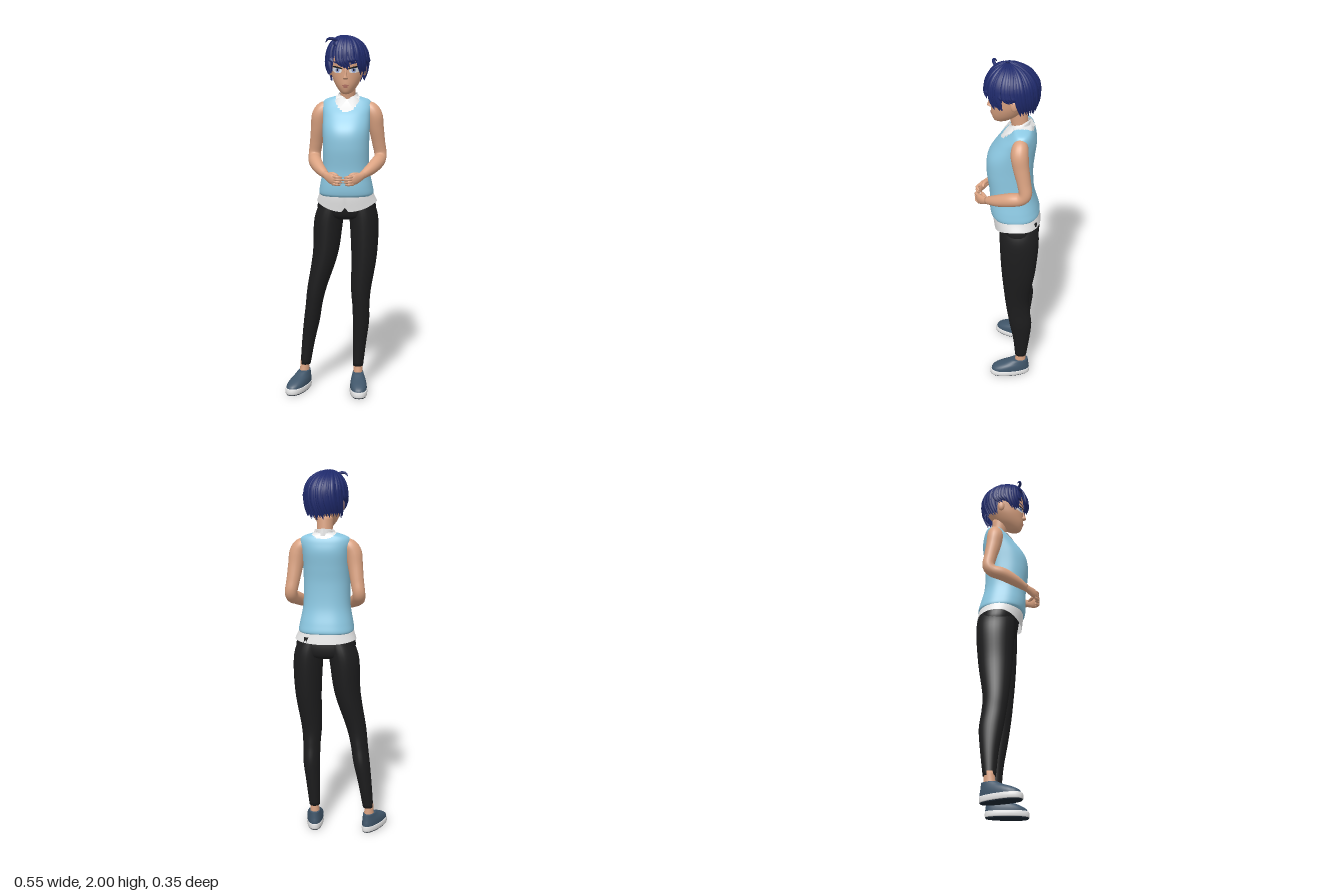
import * as THREE from 'three';

const mat = (name, color, double) => {
  const m = new THREE.MeshStandardMaterial({ color });
  m.name = name;
  if (double) m.side = THREE.DoubleSide;
  return m;
};
const V = (x, y, z) => new THREE.Vector3(x, y, z);
const AX = 0.065, HX = 0.07; // body and head centre lines

// Smooth interpolation through sections [x, y, z, halfWidth, halfDepth]
function sampler(secs) {
  const c = new THREE.CatmullRomCurve3(secs.map(s => V(s[0], s[1], s[2])), false, 'catmullrom', 0.5);
  const r = new THREE.CatmullRomCurve3(secs.map(s => V(s[3], s[4] ?? s[3], 0)), false, 'catmullrom', 0.5);
  return t => ({ c: c.getPoint(t), r: r.getPoint(t), t: c.getTangent(t) });
}

function geometry(pos, ...lists) {
  const g = new THREE.BufferGeometry();
  g.setAttribute('position', new THREE.Float32BufferAttribute(pos, 3));
  g.setIndex(lists.flat());
  let start = 0;
  if (lists.length > 1) lists.forEach((l, i) => { g.addGroup(start, l.length, i); start += l.length; });
  g.computeVertexNormals();
  return g;
}

// Skin of oval rings: level rings, or rings across the path when a hint direction is given
function loft(secs, { n = 28, m = 36, hint, pow = 2, caps = true, mod, pick } = {}) {
  const at = sampler(secs), pos = [], lists = pick ? [[], []] : [[]];
  const up = Math.sign(secs[secs.length - 1][1] - secs[0][1]);
  const bend = v => Math.sign(v) * Math.abs(v) ** (2 / pow);
  for (let j = 0; j <= m; j++) {
    const s = at(j / m), T = hint ? s.t : V(0, up, 0);
    const U = hint ? hint.clone().addScaledVector(T, -hint.dot(T)).normalize() : V(1, 0, 0);
    const W = U.clone().cross(T);
    for (let i = 0; i < n; i++) {
      const a = i / n * Math.PI * 2;
      const p = s.c.clone().addScaledVector(U, s.r.x * bend(Math.cos(a))).addScaledVector(W, s.r.y * bend(Math.sin(a)));
      if (mod) mod(p, a, j / m);
      pos.push(p.x, p.y, p.z);
    }
  }
  for (let j = 0; j < m; j++) for (let i = 0; i < n; i++) {
    const a = j * n + i, b = j * n + (i + 1) % n, c = a + n, d = b + n;
    const mid = k => (pos[a * 3 + k] + pos[d * 3 + k]) / 2;
    lists[pick && pick(mid(0), mid(1), mid(2)) ? 1 : 0].push(a, c, b, b, c, d);
  }
  if (caps) [0, 1].forEach(e => {
    const c = at(e).c, k = pos.length / 3, o = e * m * n;
    pos.push(c.x, c.y, c.z);
    for (let i = 0; i < n; i++) {
      const a = o + i, b = o + (i + 1) % n;
      lists[0].push(k, e ? b : a, e ? a : b);
    }
  });
  return geometry(pos, ...lists);
}

export function createModel() {
  const model = new THREE.Group();
  const skin = mat('skin', 0xdba382), vestM = mat('vest blue', 0x8cc8e2, true), white = mat('shirt white', 0xe6e6e6, true);
  const black = mat('trouser black', 0x1d1d1e, true), shoeM = mat('shoe slate', 0x40566a), hairM = mat('hair navy', 0x1f2a6c, true);
  const under = mat('sole dark', 0x1c2733), iris = mat('iris pale blue', 0x8f9fd6, true), lip = mat('lip', 0xb87566, true);
  const add = (name, geo, m, parent = model) => {
    const mesh = new THREE.Mesh(geo, m);
    mesh.name = name;
    parent.add(mesh);
    return mesh;
  };

  // Sweater vest, with the shirt showing in the scooped neckline
  add('vest', loft([
    [AX, 1.135, -0.04, 0.143, 0.123], [AX, 1.15, -0.039, 0.149, 0.13], [AX, 1.19, -0.032, 0.143, 0.128],
    [AX, 1.28, -0.02, 0.127, 0.117], [AX, 1.4, -0.01, 0.125, 0.121], [AX, 1.49, -0.018, 0.127, 0.121],
    [AX, 1.57, -0.048, 0.13, 0.1], [AX, 1.62, -0.067, 0.135, 0.074], [AX, 1.65, -0.074, 0.122, 0.057],
    [AX, 1.668, -0.072, 0.075, 0.05], [AX, 1.675, -0.07, 0.045, 0.04],
  ], {
    n: 72, m: 90, pow: 2.4,
    pick: (x, y, z) => ((x - HX) / 0.064) ** 2 + ((y - 1.675) / (z > -0.07 ? 0.085 : 0.03)) ** 2 < 1,
  }), [vestM, white]);

  // Shirt tail, longer at the front and split at the middle
  add('shirtTail', loft([[AX, 1.18, -0.04, 0.138, 0.12], [AX, 1.14, -0.043, 0.15, 0.124], [0.067, 1.1, -0.052, 0.166, 0.124]], {
    n: 64, m: 10, caps: false, pow: 2.2,
    mod: (p, a, t) => {
      const f = (p.z + 0.045) / 0.125, gap = Math.max(0, 1 - Math.abs(p.x - AX) / 0.012);
      p.y -= t * t * (f > 0 ? 0.055 * f * f - 0.03 * gap * f : 0.012 * f * f);
    },
  }), white);

  // Collar band and folded points
  add('collarBand', loft([[HX, 1.635, -0.066, 0.052, 0.052], [HX, 1.675, -0.068, 0.046, 0.046]], {
    m: 4, caps: false, mod: p => { p.y -= (p.z + 0.065) * 0.35; },
  }), white);
  for (const s of [1, -1]) {
    const pts = [[0.004, 1.65, 0.002], [0.035, 1.608, 0.032], [0.064, 1.642, -0.003], [0.051, 1.688, -0.07], [0.03, 1.668, -0.02],
      [0.064, 1.655, -0.075], [0, 1.697, -0.118], [0, 1.66, -0.14]];
    add('collarPoint', geometry(pts.flatMap(p => [HX + s * p[0], p[1], p[2]]), [0, 1, 4, 1, 2, 4, 4, 2, 3, 2, 5, 3, 3, 5, 6, 5, 7, 6]), white);
  }

  // Trousers
  add('hips', loft([[AX, 1.0, -0.062, 0.1, 0.07], [AX, 1.02, -0.062, 0.145, 0.1], [AX, 1.07, -0.058, 0.162, 0.11], [AX, 1.16, -0.045, 0.14, 0.11]], { n: 40, m: 16, pow: 2.2 }), black);
  const legs = {
    left: [[0.135, 1.12, 0.07], [0.16, 1, 0.08], [0.163, 0.8, 0.072], [0.147, 0.6, 0.056], [0.146, 0.5, 0.048], [0.146, 0.4, 0.046], [0.138, 0.28, 0.038], [0.13, 0.14, 0.029]],
    right: [[0.005, 1.12, 0.07], [-0.034, 1, 0.081], [-0.054, 0.8, 0.071], [-0.102, 0.6, 0.054], [-0.12, 0.5, 0.047], [-0.135, 0.4, 0.045], [-0.155, 0.28, 0.037], [-0.173, 0.14, 0.029]],
  };
  const legDepth = [[-0.06, 0.098], [-0.065, 0.105], [-0.062, 0.093], [-0.055, 0.07], [-0.062, 0.065], [-0.075, 0.063], [-0.08, 0.048], [-0.078, 0.033]];
  for (const side in legs) {
    add(side + 'TrouserLeg', loft(legs[side].map(([x, y, a], i) => [x, y, legDepth[i][0], a, legDepth[i][1]]), { m: 48 }), black);

    // Ankle and slip-on shoe
    const foot = new THREE.Group(), left = side === 'left';
    foot.name = side + 'Foot';
    foot.position.set(left ? 0.13 : -0.178, 0, -0.078);
    foot.rotation.y = left ? 0.12 : -0.38;
    model.add(foot);
    const wide = { m: 6, pow: 2.3, mod: p => { p.x *= 1 + (p.z - 0.06) * 1.2; } };
    add('ankle', loft([[0, 0.05, 0.005, 0.03, 0.04], [0, 0.1, 0.002, 0.026, 0.032], [0, 0.16, 0, 0.024, 0.026]], { m: 8 }), skin, foot);
    add('soleUnderside', loft([[0, 0, 0.065, 0.044, 0.112], [0, 0.006, 0.065, 0.046, 0.115]], wide), under, foot);
    add('sole', loft([[0, 0.005, 0.065, 0.047, 0.116], [0, 0.02, 0.065, 0.049, 0.117], [0, 0.036, 0.064, 0.047, 0.115]], wide), white, foot);
    add('shoeUpper', loft([[0, 0.03, 0.063, 0.046, 0.113], [0, 0.05, 0.058, 0.046, 0.107], [0, 0.068, 0.044, 0.043, 0.09],
      [0, 0.085, 0.022, 0.037, 0.066], [0, 0.104, 0.003, 0.031, 0.045]], { ...wide, m: 14 }), shoeM, foot);
  }

  // Arms bent in front, hands meeting at the waist
  for (const s of [1, -1]) {
    const arm = new THREE.Group();
    arm.name = s > 0 ? 'leftArm' : 'rightArm';
    model.add(arm);
    const limb = (name, secs, opt) => add(name, loft(secs.map(p => [AX + s * p[0], ...p.slice(1)]), opt), skin, arm);
    limb('armSleeveless', [[0.09, 1.615, -0.07, 0.025], [0.125, 1.603, -0.068, 0.04], [0.149, 1.565, -0.066, 0.045], [0.16, 1.5, -0.074, 0.04, 0.042],
      [0.172, 1.42, -0.09, 0.036], [0.182, 1.36, -0.098, 0.034], [0.18, 1.328, -0.075, 0.034], [0.168, 1.312, -0.02, 0.036],
      [0.138, 1.285, 0.045, 0.031], [0.098, 1.258, 0.105, 0.02]], { hint: V(s * 0.8, 0.3, 0.55), m: 56, n: 20 });
    limb('palm', [[0.104, 1.262, 0.097, 0.019, 0.018], [0.085, 1.25, 0.122, 0.023, 0.016], [0.062, 1.241, 0.145, 0.028, 0.014], [0.042, 1.237, 0.157, 0.024, 0.011]], { hint: V(0, 1, 0), m: 14, n: 16 });
    for (let i = 0; i < 4; i++) {
      const y = 1.256 - i * 0.013, reach = [0.006, 0, 0.004, 0.014][i];
      limb('finger', [[0.055, y, 0.15, 0.009], [0.034, y - 0.001, 0.166, 0.0085], [reach + 0.014, y - 0.003, 0.163, 0.0075], [reach, y - 0.005, 0.153, 0.004]], { hint: V(0, 1, 0), m: 10, n: 10 });
    }
    limb('thumb', [[0.085, 1.262, 0.112, 0.01], [0.058, 1.267, 0.128, 0.0105], [0.038, 1.262, 0.135, 0.008], [0.027, 1.257, 0.132, 0.004]], { hint: V(0, 1, 0), m: 10, n: 10 });
  }

  // Neck and head
  add('neck', loft([[HX, 1.6, -0.07, 0.046, 0.046], [HX, 1.66, -0.062, 0.041, 0.043], [HX, 1.76, -0.045, 0.045, 0.05]], { m: 12 }), skin);
  const headSecs = [[0.685, 0.042, 0.012, 0.018], [0.697, 0.031, 0.032, 0.042], [0.73, 0.01, 0.058, 0.073], [0.77, -0.006, 0.077, 0.091],
    [0.81, -0.02, 0.087, 0.106], [0.86, -0.03, 0.093, 0.118], [0.91, -0.03, 0.089, 0.112], [0.95, -0.03, 0.07, 0.088], [0.972, -0.03, 0.03, 0.04]]
    .map(([y, z, a, b]) => [HX, 1 + y, z, a, b]);
  add('head', loft(headSecs, { n: 40, m: 48 }), skin);
  add('nose', loft([[HX, 1.762, 0.076, 0.01, 0.01], [HX, 1.77, 0.084, 0.014, 0.019], [HX, 1.782, 0.083, 0.009, 0.018], [HX, 1.82, 0.078, 0.006, 0.011]], { n: 14, m: 14 }), skin);

  // Thin face details laid on the head surface
  const headAt = sampler(headSecs);
  const faceZ = (x, y) => {
    let lo = 0, hi = 1;
    for (let k = 0; k < 24; k++) { const t = (lo + hi) / 2; if (headAt(t).c.y < y) lo = t; else hi = t; }
    const s = headAt(lo);
    return s.c.z + s.r.y * Math.sqrt(Math.max(0.05, 1 - (x / s.r.x) ** 2));
  };
  const patch = (name, m, cx, cy, w, h, tilt, lift) => {
    const pos = [], idx = [], n = 24;
    for (let j = 0; j <= 3; j++) for (let i = 0; i < n; i++) {
      const a = i / n * Math.PI * 2, dx = w * Math.cos(a) * j / 3;
      const x = cx + dx, y = cy + h * Math.sin(a) * j / 3 + dx * tilt;
      pos.push(HX + x, y, faceZ(x, y) + lift);
      if (j < 3) { const b = j * n + i, c = j * n + (i + 1) % n; idx.push(b, b + n, c, c, b + n, c + n); }
    }
    add(name, geometry(pos, idx), m);
  };
  for (const s of [1, -1]) {
    patch('eyeWhite', white, s * 0.046, 1.811, 0.027, 0.015, s * 0.12, 0.002);
    patch('iris', iris, s * 0.043, 1.812, 0.011, 0.013, 0, 0.0035);
    patch('pupil', black, s * 0.043, 1.812, 0.0045, 0.006, 0, 0.005);
    patch('upperLash', black, s * 0.046, 1.826, 0.031, 0.0045, s * 0.22, 0.006);
    patch('eyebrow', hairM, s * 0.046, 1.849, 0.028, 0.004, s * 0.3, 0.004);
    add('ear', new THREE.SphereGeometry(1, 16, 12).scale(0.012, 0.03, 0.019).translate(HX + s * 0.091, 1.812, -0.036), skin);
  }
  patch('upperLip', lip, 0, 1.732, 0.019, 0.004, 0, 0.003);
  patch('lowerLip', lip, 0, 1.724, 0.014, 0.005, 0, 0.003);

  // Short hair: base cap under tapered locks sweeping from the crown
  const hairPoint = (az, u, tipY, k) => {
    const top = 1.875, e = Math.min(1, u / 0.6), phi = 0.1 + e * (Math.PI / 2 - 0.1);
    let y = top + 0.115 * k * Math.cos(phi), r = Math.sin(phi);
    if (tipY > top - 0.01) { const q = 0.1 + u * (Math.acos(Math.min(1, Math.max(0, (tipY - top) / 0.115))) - 0.1); y = top + 0.115 * k * Math.cos(q); r = Math.sin(q); }
    else if (u > 0.6) { y = top - (top - tipY) * (u - 0.6) / 0.4; r = 1 - 7 * (top - y) ** 2; }
    return V(HX - 0.018 * (1 - r) + 0.11 * k * r * Math.cos(az), y, -0.022 + 0.025 * (1 - r) + 0.132 * k * r * Math.sin(az));
  };
  const hem = az => { // tip height by direction: 90 degrees is the front
    const d = ((az * 180 / Math.PI) % 360 + 360) % 360;
    if (d > 104 && d < 124) return 1.925;
    if (d > 75 && d <= 104) return 1.825;
    if (d > 48 && d < 135) return 1.855;
    if (d > 20 && d < 160) return 1.785;
    if (d < 160 && d <= 20 || d >= 160 && d < 200 || d > 340) return 1.835;
    return 1.755;
  };
  const cap = [], capIdx = [], N = 72, M = 20;
  for (let j = 0; j <= M; j++) for (let i = 0; i < N; i++) {
    const az = i / N * Math.PI * 2, p = hairPoint(az, j / M, hem(az) + 0.02, 0.94);
    cap.push(p.x, p.y, p.z);
    if (j < M) { const a = j * N + i, b = j * N + (i + 1) % N; capIdx.push(a, b, a + N, b, b + N, a + N); }
  }
  for (let i = 1; i < N - 1; i++) capIdx.push(0, i + 1, i);
  add('hairCap', geometry(cap, capIdx), hairM);
  const locks = 50;
  for (let i = 0; i < locks; i++) {
    const az = i / locks * Math.PI * 2, jig = Math.sin(i * 12.9898) * 0.5 + Math.sin(i * 4.1) * 0.5;
    const secs = [];
    for (let k = 0; k <= 8; k++) {
      const u = k / 8, p = hairPoint(az + 0.22 * Math.sin(u * 3) - 0.08 * u + 0.05 * jig * u, u, hem(az) + 0.014 * jig, 1 + 0.015 * Math.sin(i * 2.4));
      const w = 0.004 + 0.011 * Math.sin(Math.min(1, u * 1.6) * Math.PI / 2);
      const taper = u > 0.8 ? 1 - (u - 0.8) * 4.6 : 1;
      secs.push([p.x, p.y, p.z, (0.005 + 0.005 * u) * taper, w * taper]);
    }
    add('hairLock', loft(secs, { hint: V(Math.cos(az), 1, Math.sin(az)), n: 8, m: 18 }), hairM);
  }
  add('hairFlick', loft([[0.03, 1.96, 0.06, 0.008], [0.0, 1.975, 0.075, 0.008], [-0.025, 1.972, 0.07, 0.006], [-0.038, 1.955, 0.06, 0.001]], { hint: V(0, 0, 1), n: 8, m: 12 }), hairM);

  return model;
}
